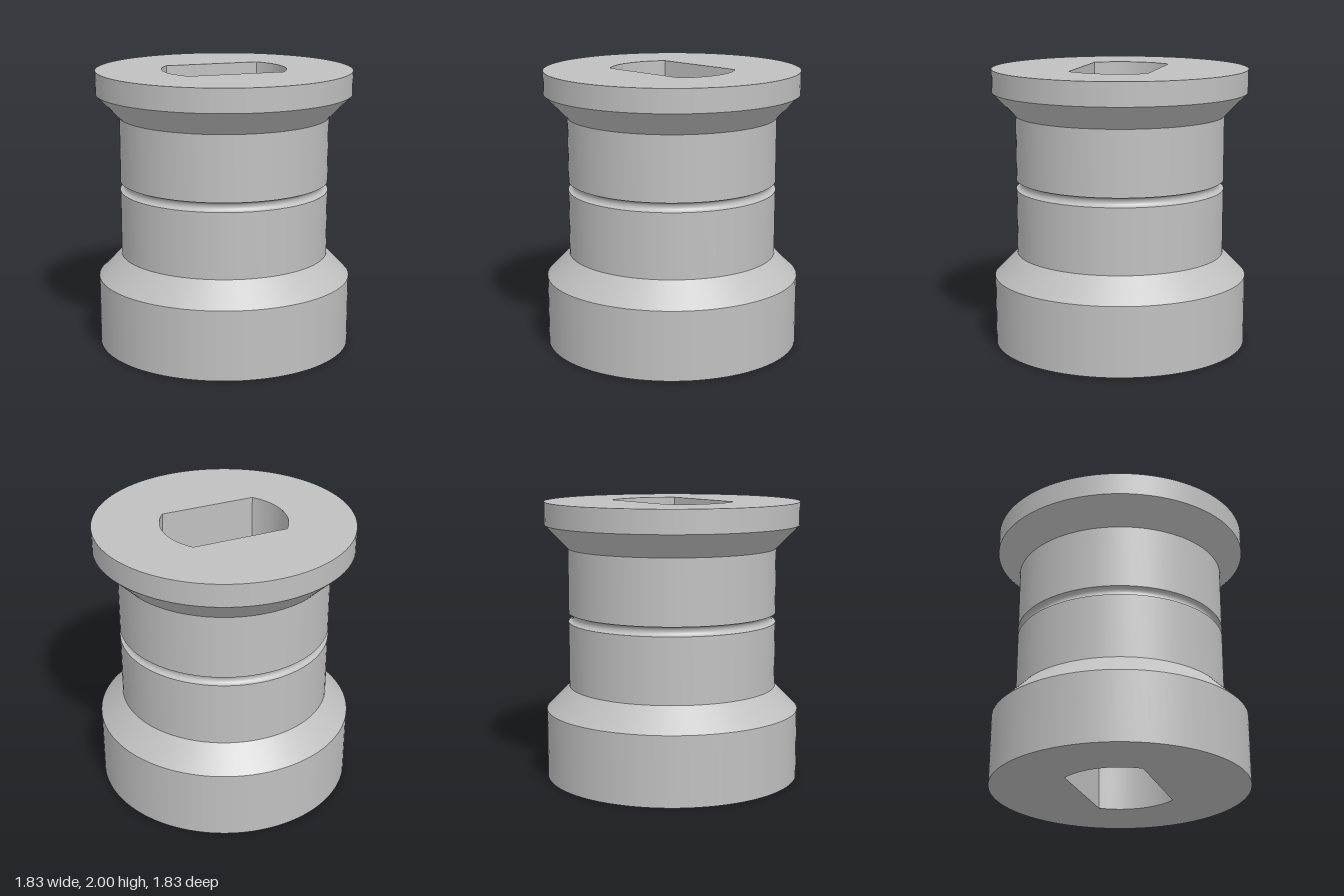
import * as THREE from 'three';

const SEGMENTS = 96;
const HEIGHT = 2;
const R_FLANGE = 0.915;
const R_NECK = 0.75;
const R_BORE = 0.445;
const FLAT_Z = 0.28; // half distance between the two flats of the bore
const FLAT_ANGLE = Math.asin(FLAT_Z / R_BORE);

export function createModel() {
  const group = new THREE.Group();
  const grey = new THREE.MeshStandardMaterial({ color: 0xc0c0c0 });
  grey.name = 'grey metal';

  const add = (name, geometry) => {
    const mesh = new THREE.Mesh(geometry, grey);
    mesh.name = name;
    group.add(mesh);
    return mesh;
  };
  // Each band is its own lathe, so edges between bands stay sharp
  const band = (name, points, segments = SEGMENTS, start = 0, length = Math.PI * 2) =>
    add(name, new THREE.LatheGeometry(points.map(([r, y]) => new THREE.Vector2(r, y)), segments, start, length));

  // Half-round groove around the neck
  const grooveY = 1.17, grooveR = 0.033;
  const groove = [];
  for (let i = 0; i <= 12; i++) {
    const a = (i / 12) * Math.PI;
    groove.push([R_NECK - grooveR * Math.sin(a), grooveY - grooveR * Math.cos(a)]);
  }

  // Outer bands, bottom to top
  band('baseFlange', [[R_FLANGE, 0], [R_FLANGE, 0.5]]);
  band('baseChamfer', [[R_FLANGE, 0.5], [R_NECK, 0.667]]);
  band('lowerNeck', [[R_NECK, 0.667], [R_NECK, grooveY - grooveR]]);
  band('groove', groove);
  band('upperNeck', [[R_NECK, grooveY + grooveR], [R_NECK, 1.667]]);
  band('topChamfer', [[R_NECK, 1.667], [R_FLANGE, 1.835]]);
  band('topFlange', [[R_FLANGE, 1.835], [R_FLANGE, HEIGHT]]);

  // End faces with the double-flat opening
  const face = new THREE.Shape();
  face.absarc(0, 0, R_FLANGE, 0, Math.PI * 2, false);
  const opening = new THREE.Path();
  opening.absarc(0, 0, R_BORE, -FLAT_ANGLE, FLAT_ANGLE, false);
  opening.absarc(0, 0, R_BORE, Math.PI - FLAT_ANGLE, Math.PI + FLAT_ANGLE, false);
  opening.closePath();
  face.holes.push(opening);
  const topFace = add('topFace', new THREE.ShapeGeometry(face, SEGMENTS / 2));
  topFace.rotation.x = -Math.PI / 2;
  topFace.position.y = HEIGHT;
  const bottomFace = add('bottomFace', new THREE.ShapeGeometry(face, SEGMENTS / 2));
  bottomFace.rotation.x = Math.PI / 2;

  // Bore walls: two curved sides and two flats, all facing inward
  const flatWidth = 2 * R_BORE * Math.cos(FLAT_ANGLE);
  for (const side of [1, -1]) {
    band(side > 0 ? 'leftBoreWall' : 'rightBoreWall', [[R_BORE, HEIGHT], [R_BORE, 0]], 32,
      side * Math.PI / 2 - FLAT_ANGLE, FLAT_ANGLE * 2);
    const flat = add(side > 0 ? 'frontBoreFlat' : 'backBoreFlat', new THREE.PlaneGeometry(flatWidth, HEIGHT));
    flat.position.set(0, HEIGHT / 2, side * FLAT_Z);
    flat.rotation.y = side > 0 ? Math.PI : 0;
  }

  return group;
}
